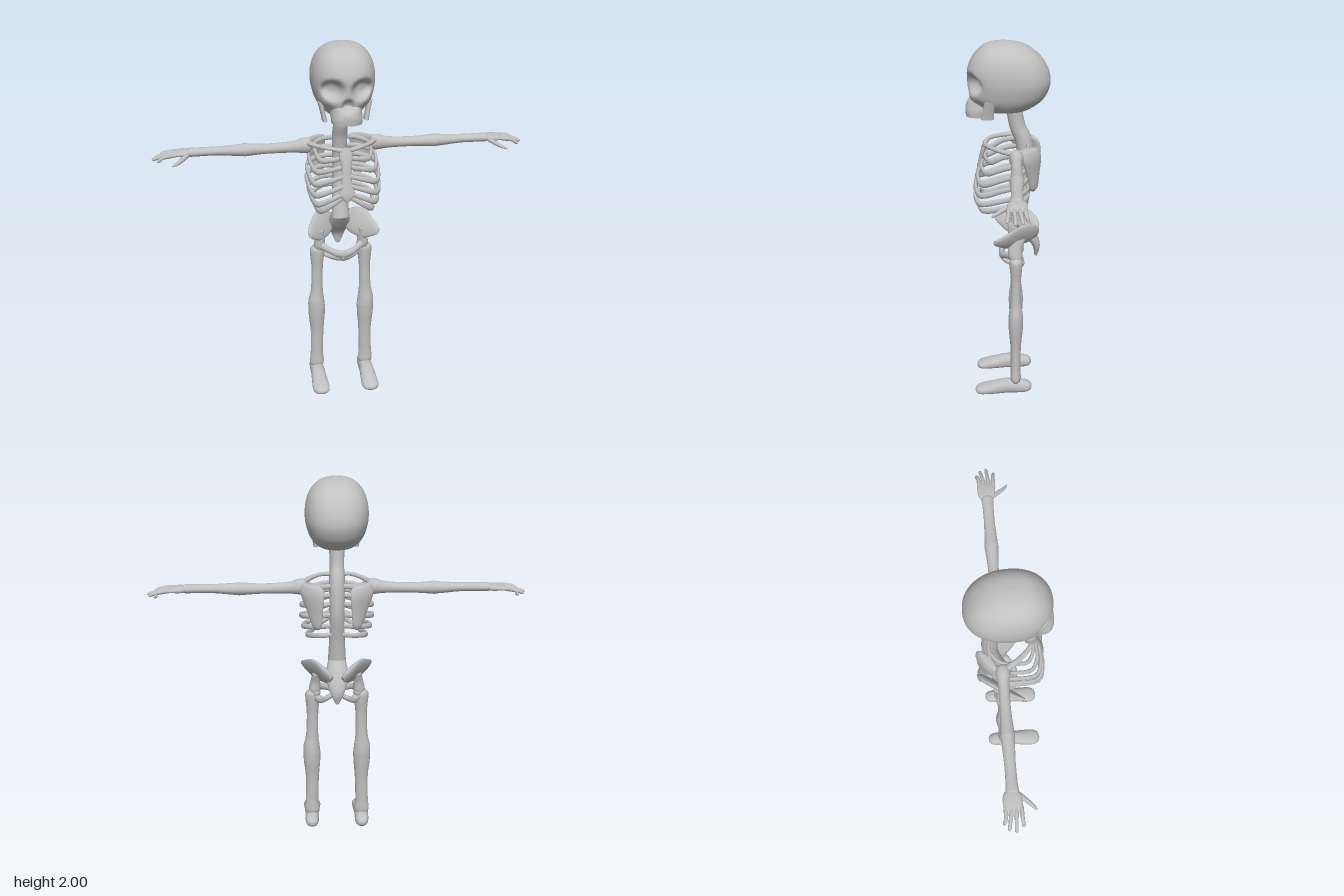
import * as THREE from 'three';

const bone = new THREE.MeshStandardMaterial({ color: 0xc0c0c0 });
bone.name = 'bone grey';

const X = new THREE.Vector3(1, 0, 0);
const Y = new THREE.Vector3(0, 1, 0);
const Z = new THREE.Vector3(0, 0, 1);

// Catmull-Rom sampling of rows [x, y, z, a, b]
function sample(rows, steps) {
  const out = [];
  const last = rows.length - 1;
  for (let i = 0; i < last; i++) {
    const p0 = rows[Math.max(i - 1, 0)], p1 = rows[i], p2 = rows[i + 1], p3 = rows[Math.min(i + 2, last)];
    for (let k = 0; k < steps; k++) {
      const t = k / steps;
      out.push(p1.map((v, c) => 0.5 * (2 * v + (p2[c] - p0[c]) * t
        + (2 * p0[c] - 5 * v + 4 * p2[c] - p3[c]) * t * t
        + (3 * v - p0[c] - 3 * p2[c] + p3[c]) * t * t * t)));
    }
  }
  out.push(rows[last]);
  return out;
}

// Closed loft: a is the half size along ref, b the half size across it
function loft(rows, { ref = Y, axis = null, n = 14, steps = 5, power = 2, warp = null } = {}) {
  const path = sample(rows, steps);
  const pos = [], index = [];
  const at = (i) => new THREE.Vector3(...path[Math.min(Math.max(i, 0), path.length - 1)].slice(0, 3));
  const soft = (v) => Math.sign(v) * Math.pow(Math.abs(v), 2 / power);
  path.forEach((row, i) => {
    const t = axis ? axis.clone() : at(i + 1).sub(at(i - 1)).normalize();
    const u = ref.clone().addScaledVector(t, -ref.dot(t)).normalize();
    const v = t.clone().cross(u);
    for (let j = 0; j < n; j++) {
      const ang = (j / n) * Math.PI * 2;
      const p = at(i).addScaledVector(u, Math.max(row[3], 0.001) * soft(Math.cos(ang)))
        .addScaledVector(v, Math.max(row[4], 0.001) * soft(Math.sin(ang)));
      if (warp) warp(p);
      pos.push(p.x, p.y, p.z);
      if (i < path.length - 1) {
        const a = i * n + j, b = i * n + (j + 1) % n;
        index.push(a, b, b + n, a, b + n, a + n);
      }
    }
  });
  // End caps with their own vertices
  for (const [i, flip] of [[0, true], [path.length - 1, false]]) {
    const base = pos.length / 3;
    for (let j = 0; j < n; j++) pos.push(...pos.slice((i * n + j) * 3, (i * n + j) * 3 + 3));
    pos.push(...path[i].slice(0, 3));
    for (let j = 0; j < n; j++) {
      const a = base + j, b = base + (j + 1) % n;
      index.push(base + n, flip ? b : a, flip ? a : b);
    }
  }
  const g = new THREE.BufferGeometry();
  g.setAttribute('position', new THREE.Float32BufferAttribute(pos, 3));
  g.setIndex(index);
  g.computeVertexNormals();
  return g;
}

function mirrored(geo) {
  const g = geo.clone();
  const p = g.attributes.position, ix = g.index;
  for (let i = 0; i < p.count; i++) p.setX(i, -p.getX(i));
  for (let i = 0; i < ix.count; i += 3) {
    const b = ix.getX(i + 1);
    ix.setX(i + 1, ix.getX(i + 2));
    ix.setX(i + 2, b);
  }
  g.computeVertexNormals();
  return g;
}

// Hollows for the eye sockets, nose and cheeks
function carveFace(p) {
  if (p.z < 0.03) return;
  const x = Math.abs(p.x);
  const eye = ((x - 0.076) / 0.05) ** 2 + ((p.y - 1.79) / 0.046) ** 2;
  const nose = (x / 0.024) ** 2 + ((p.y - 1.71) / 0.03) ** 2;
  const cheek = ((x - 0.1) / 0.03) ** 2 + ((p.y - 1.67) / 0.03) ** 2;
  p.z -= 0.06 * Math.exp(-eye * eye) + 0.03 * Math.exp(-nose * nose) + 0.03 * Math.exp(-cheek);
}

export function createModel() {
  const model = new THREE.Group();
  model.name = 'skeleton';
  const add = (name, geo) => {
    const m = new THREE.Mesh(geo, bone);
    m.name = name;
    model.add(m);
  };
  const pair = (name, geo) => {
    add('left' + name, geo);
    add('right' + name, mirrored(geo));
  };
  const upright = { ref: X, axis: Y };

  // Skull: [y, half width, front z, back z]
  const skull = [
    [1.628, 0.004, 0.0, -0.01], [1.637, 0.08, 0.13, -0.085], [1.66, 0.115, 0.175, -0.135],
    [1.70, 0.142, 0.197, -0.185], [1.75, 0.158, 0.207, -0.213], [1.80, 0.166, 0.212, -0.222],
    [1.86, 0.163, 0.21, -0.208], [1.92, 0.145, 0.185, -0.17], [1.965, 0.11, 0.145, -0.115],
    [1.99, 0.065, 0.1, -0.055], [2.0, 0.004, 0.025, 0.015],
  ].map(([y, w, f, b]) => [0, y, (f + b) / 2, w, (f - b) / 2]);
  add('skull', loft(skull, { ...upright, n: 96, steps: 6, power: 2.3, warp: carveFace }));
  add('jaw', loft([[0, 1.61, 0.15, 0.078, 0.07], [0, 1.65, 0.15, 0.082, 0.073], [0, 1.69, 0.14, 0.075, 0.07],
    [0, 1.72, 0.12, 0.06, 0.06]], { ...upright, n: 32, power: 2.6, warp: carveFace }));
  pair('JawBranch', loft([[0.108, 1.612, 0.105, 0.014, 0.035], [0.116, 1.65, 0.1, 0.013, 0.03],
    [0.128, 1.71, 0.09, 0.014, 0.03]], upright));

  // Spine and sacrum
  add('spine', loft([[0, 1.66, -0.03, 0.042, 0.042], [0, 1.55, -0.05, 0.038, 0.042], [0, 1.46, -0.085, 0.042, 0.045],
    [0, 1.3, -0.1, 0.04, 0.042], [0, 1.15, -0.08, 0.042, 0.036], [0, 1.0, -0.055, 0.05, 0.045]],
  { ref: X, n: 16 }));
  add('sacrum', loft([[0, 1.03, -0.055, 0.045, 0.04], [0, 0.95, -0.11, 0.06, 0.035], [0, 0.87, -0.155, 0.04, 0.022],
    [0, 0.8, -0.155, 0.01, 0.008]], { ref: X, n: 16 }));

  // Rib cage: [spine y, side y, front y, breastbone y, half width, front z]
  add('breastbone', loft([[0, 1.175, 0.178, 0.004, 0.005], [0, 1.22, 0.172, 0.04, 0.013], [0, 1.28, 0.16, 0.028, 0.013],
    [0, 1.36, 0.145, 0.026, 0.013], [0, 1.42, 0.13, 0.036, 0.014], [0, 1.46, 0.12, 0.034, 0.01]], upright));
  [
    [1.45, 1.42, 1.39, 1.405, 0.15, 0.105], [1.40, 1.365, 1.335, 1.36, 0.178, 0.125],
    [1.35, 1.31, 1.275, 1.315, 0.19, 0.145], [1.29, 1.25, 1.215, 1.265, 0.192, 0.155],
    [1.23, 1.19, 1.165, 1.225, 0.182, 0.16], [1.18, 1.14, 1.12, 1.2, 0.16, 0.145],
  ].forEach(([a, b, c, d, w, f], i) => pair('Rib' + (i + 1), loft([
    [0.02, a, -0.1, 0.014, 0.009], [w * 0.55, a - 0.005, -0.105, 0.014, 0.009],
    [w * 0.95, (a + b) / 2, -0.05, 0.015, 0.009], [w, b, 0.03, 0.015, 0.009],
    [w * 0.88, c, f - 0.015, 0.017, 0.01], [w * 0.5, (c + d) / 2, f + 0.015, 0.014, 0.009],
    [0.015, d, f + 0.01, 0.012, 0.008],
  ], { n: 10, steps: 4 })));

  // Shoulders
  pair('CollarBone', loft([[0.02, 1.448, 0.122, 0.013, 0.014], [0.08, 1.455, 0.1, 0.011, 0.012],
    [0.14, 1.452, 0.04, 0.012, 0.014], [0.18, 1.448, -0.03, 0.014, 0.018]], { n: 10 }));
  pair('ShoulderBlade', loft([[0.105, 1.22, -0.135, 0.012, 0.008], [0.108, 1.245, -0.138, 0.032, 0.014],
    [0.118, 1.32, -0.135, 0.052, 0.016], [0.13, 1.4, -0.128, 0.075, 0.02], [0.13, 1.445, -0.118, 0.07, 0.018],
    [0.135, 1.46, -0.108, 0.045, 0.01]], { ref: new THREE.Vector3(0.8, 0, 0.6), axis: Y, n: 18 }));

  // Arms
  pair('UpperArm', loft([[0.155, 1.43, -0.045, 0.015, 0.015], [0.168, 1.43, -0.045, 0.038, 0.035],
    [0.2, 1.43, -0.045, 0.042, 0.038], [0.26, 1.425, -0.046, 0.031, 0.029], [0.4, 1.422, -0.048, 0.027, 0.029],
    [0.52, 1.422, -0.048, 0.035, 0.037]], { n: 18 }));
  pair('Forearm', loft([[0.51, 1.422, -0.048, 0.034, 0.036], [0.56, 1.422, -0.048, 0.03, 0.034],
    [0.66, 1.424, -0.048, 0.023, 0.029], [0.76, 1.424, -0.048, 0.023, 0.03], [0.805, 1.424, -0.048, 0.022, 0.032],
    [0.815, 1.424, -0.048, 0.01, 0.015]], { n: 18 }));
  pair('Palm', loft([[0.795, 1.424, -0.048, 0.012, 0.025], [0.82, 1.424, -0.05, 0.017, 0.045],
    [0.87, 1.423, -0.05, 0.014, 0.049], [0.91, 1.418, -0.048, 0.007, 0.045]], { n: 18, power: 2.4 }));
  [[-0.087, -0.098, 0.96], [-0.062, -0.075, 0.99], [-0.036, -0.042, 1.0], [-0.01, -0.005, 0.975]]
    .forEach(([z0, z1, x], i) => pair('Finger' + (i + 1), loft([[0.87, 1.424, z0, 0.009, 0.01],
      [0.91, 1.42, z0, 0.012, 0.011], [0.945, 1.412, (z0 + z1) / 2, 0.009, 0.009],
      [x - 0.01, 1.397, z1, 0.009, 0.009], [x, 1.393, z1, 0.003, 0.003]], { n: 8, steps: 3 })));
  pair('Thumb', loft([[0.815, 1.418, -0.02, 0.012, 0.013], [0.845, 1.405, 0.015, 0.012, 0.012],
    [0.872, 1.395, 0.045, 0.009, 0.01], [0.894, 1.39, 0.064, 0.005, 0.005]], { n: 8, steps: 3 }));

  // Pelvis: flared wings, hip sockets and the lower arches
  pair('HipWing', loft([[0.03, 0.935, -0.15, 0.03, 0.012], [0.055, 0.95, -0.13, 0.06, 0.02],
    [0.095, 0.96, -0.08, 0.078, 0.02], [0.135, 0.95, -0.02, 0.068, 0.017], [0.17, 0.95, 0.035, 0.04, 0.014],
    [0.188, 0.952, 0.07, 0.016, 0.008]], { ref: new THREE.Vector3(0.5, 1, -0.1), n: 18 }));
  pair('HipSocket', loft([[0.12, 0.805, -0.045, 0.02, 0.02], [0.122, 0.84, -0.042, 0.032, 0.038],
    [0.118, 0.89, -0.04, 0.026, 0.04], [0.115, 0.94, -0.045, 0.018, 0.05]], upright));
  pair('PubicArch', loft([[0.12, 0.85, -0.03, 0.025, 0.022], [0.08, 0.835, 0.01, 0.019, 0.016],
    [0.04, 0.82, 0.032, 0.02, 0.016], [0, 0.81, 0.035, 0.024, 0.014]], {}));
  pair('SittingArch', loft([[0.115, 0.835, -0.06, 0.025, 0.022], [0.098, 0.79, -0.07, 0.02, 0.022],
    [0.065, 0.778, -0.035, 0.015, 0.018], [0.03, 0.78, 0.01, 0.016, 0.014], [0, 0.79, 0.03, 0.025, 0.013]],
  { ref: new THREE.Vector3(0.3, 1, 0.3) }));

  // Legs
  pair('Thigh', loft([[0.14, 0.455, -0.045, 0.048, 0.042], [0.142, 0.5, -0.045, 0.045, 0.039],
    [0.138, 0.57, -0.045, 0.034, 0.03], [0.135, 0.7, -0.045, 0.032, 0.028], [0.134, 0.79, -0.045, 0.04, 0.035],
    [0.133, 0.825, -0.045, 0.038, 0.033], [0.133, 0.845, -0.045, 0.012, 0.012]], { ...upright, n: 18 }));
  pair('Shin', loft([[0.142, 0.07, -0.045, 0.03, 0.02], [0.142, 0.095, -0.045, 0.042, 0.03],
    [0.142, 0.16, -0.045, 0.036, 0.028], [0.139, 0.3, -0.045, 0.037, 0.03], [0.14, 0.4, -0.045, 0.046, 0.039],
    [0.14, 0.46, -0.045, 0.048, 0.042]], { ...upright, n: 18 }));
  pair('Foot', loft([[0.142, 0.045, -0.137, 0.008, 0.008], [0.142, 0.045, -0.125, 0.028, 0.024],
    [0.142, 0.046, -0.09, 0.038, 0.036], [0.142, 0.047, 0, 0.04, 0.041], [0.142, 0.037, 0.07, 0.045, 0.036],
    [0.142, 0.026, 0.14, 0.048, 0.026], [0.142, 0.022, 0.17, 0.036, 0.019], [0.142, 0.022, 0.183, 0.01, 0.006]],
  { ref: X, axis: Z, n: 20, power: 2.3, warp: (p) => { p.y = Math.max(p.y, 0); } }));

  return model;
}
